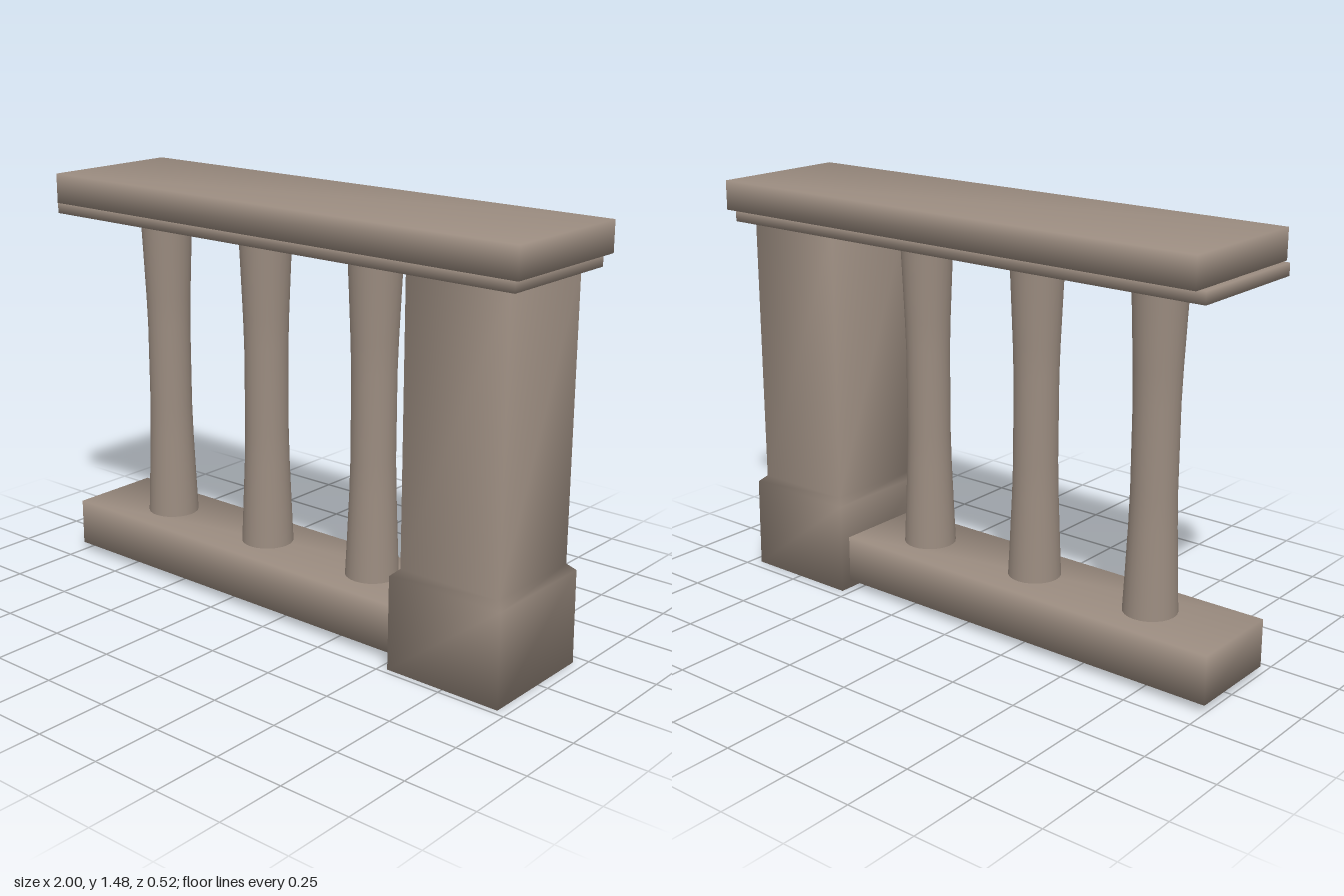
import * as THREE from 'three';
import { mergeVertices } from 'three/addons/utils/BufferGeometryUtils.js';

const stone = new THREE.MeshStandardMaterial({ color: 0x9b8c80 });
stone.name = 'warm grey stone';

// Box built from stacked rectangles [y, x0, x1, z0, z1], bottom to top,
// with corners welded so the shading runs softly around the edges
function softBlock(name, rows) {
  const n = rows.length - 1;
  const geo = new THREE.BoxGeometry(1, 1, 1, 1, n, 1);
  const p = geo.attributes.position;
  for (let i = 0; i < p.count; i++) {
    const [y, x0, x1, z0, z1] = rows[Math.round((p.getY(i) + 0.5) * n)];
    p.setXYZ(i, p.getX(i) > 0 ? x1 : x0, y, p.getZ(i) > 0 ? z1 : z0);
  }
  geo.deleteAttribute('normal');
  geo.deleteAttribute('uv');
  const welded = mergeVertices(geo);
  welded.computeVertexNormals();
  const mesh = new THREE.Mesh(welded, stone);
  mesh.name = name;
  return mesh;
}

export function createModel() {
  const group = new THREE.Group();
  group.name = 'balustrade';

  // Handrail: broad cap over a thinner moulding set slightly to one side
  group.add(softBlock('handrailCap', [
    [1.37, -0.965, 1, -0.26, 0.262], [1.475, -0.965, 1, -0.26, 0.262],
  ]));
  group.add(softBlock('handrailMoulding', [
    [1.328, -0.987, 0.977, -0.24, 0.242], [1.37, -0.987, 0.977, -0.24, 0.242],
  ]));

  // Bottom rail, running into the end post
  group.add(softBlock('bottomRail', [
    [0.03, -1, 0.6, -0.168, 0.178], [0.2, -1, 0.6, -0.168, 0.178],
  ]));

  // End post with a wider, chamfered plinth
  group.add(softBlock('endPost', [
    [0, 0.53, 0.963, -0.21, 0.229],
    [0.33, 0.53, 0.96, -0.208, 0.227],
    [0.353, 0.555, 0.935, -0.184, 0.2],
    [1.33, 0.555, 0.935, -0.184, 0.2],
  ]));

  // Waisted round balusters
  const profile = [
    [0.093, 0.195], [0.087, 0.33], [0.08, 0.5], [0.077, 0.62],
    [0.077, 0.92], [0.08, 1.03], [0.087, 1.2], [0.093, 1.335],
  ].map(([r, y]) => new THREE.Vector2(r, y));
  const balusterGeo = new THREE.LatheGeometry(profile, 24);
  for (const x of [-0.675, -0.195, 0.285]) {
    const baluster = new THREE.Mesh(balusterGeo, stone);
    baluster.name = 'baluster';
    baluster.position.set(x, 0, 0.005);
    group.add(baluster);
  }

  return group;
}
